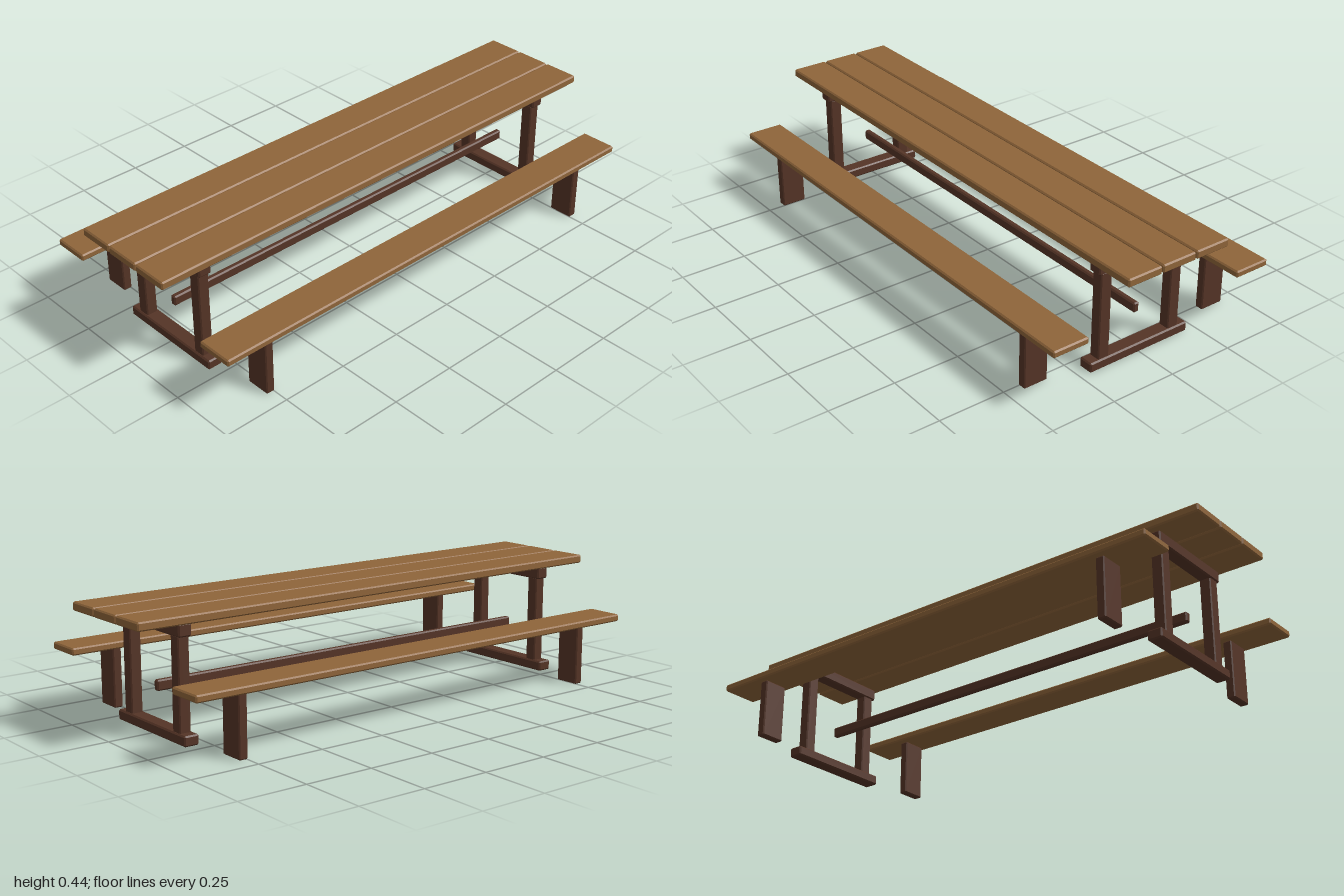
import * as THREE from 'three';
import { ConvexGeometry } from 'three/addons/geometries/ConvexGeometry.js';

// Timber with small chamfers on every edge, given by its centre and size
function chamferBox(w, h, d, c) {
  const points = [];
  for (const sx of [-1, 1]) for (const sy of [-1, 1]) for (const sz of [-1, 1]) {
    const x = w / 2, y = h / 2, z = d / 2;
    points.push(
      new THREE.Vector3(sx * x, sy * (y - c), sz * (z - c)),
      new THREE.Vector3(sx * (x - c), sy * y, sz * (z - c)),
      new THREE.Vector3(sx * (x - c), sy * (y - c), sz * z)
    );
  }
  return new ConvexGeometry(points);
}

export function createModel() {
  const model = new THREE.Group();
  model.name = 'picnicTable';

  const plankWood = new THREE.MeshStandardMaterial({ color: 0x8f653a });
  plankWood.name = 'light plank wood';
  const frameWood = new THREE.MeshStandardMaterial({ color: 0x553426 });
  frameWood.name = 'dark frame wood';

  // Adds a timber spanning y0..y1, centred on x and z
  function timber(parent, name, material, x, z, y0, y1, w, d, c = 0.005) {
    const mesh = new THREE.Mesh(chamferBox(w, y1 - y0, d, c), material);
    mesh.name = name;
    mesh.position.set(x, (y0 + y1) / 2, z);
    parent.add(mesh);
  }

  // Table top: three long planks
  const top = new THREE.Group();
  top.name = 'tableTop';
  for (const z of [-0.143, 0, 0.143]) {
    timber(top, 'tablePlank', plankWood, 0, z, 0.405, 0.436, 2, 0.139);
  }
  model.add(top);

  // End frames: foot, two posts and a top rail
  for (const side of [-1, 1]) {
    const frame = new THREE.Group();
    frame.name = side > 0 ? 'leftFrame' : 'rightFrame';
    const x = side * 0.812;
    timber(frame, 'foot', frameWood, x, 0, 0, 0.037, 0.056, 0.426);
    for (const z of [-0.153, 0.153]) {
      timber(frame, 'post', frameWood, x, z, 0.033, 0.363, 0.043, 0.046, 0.004);
    }
    timber(frame, 'topRail', frameWood, x, 0, 0.359, 0.404, 0.05, 0.376);
    model.add(frame);
  }

  // Long stretcher joining the end frames
  timber(model, 'stretcher', frameWood, 0, 0, 0.142, 0.18, 1.63, 0.023);

  // Benches: one plank on two slab legs each
  for (const side of [-1, 1]) {
    const bench = new THREE.Group();
    bench.name = side > 0 ? 'frontBench' : 'backBench';
    timber(bench, 'benchSeat', plankWood, 0, side * 0.391, 0.22, 0.246, 1.9, 0.141);
    for (const x of [-0.763, 0.763]) {
      timber(bench, 'benchLeg', frameWood, x, side * 0.391, 0, 0.219, 0.033, 0.094, 0.004);
    }
    model.add(bench);
  }

  return model;
}
